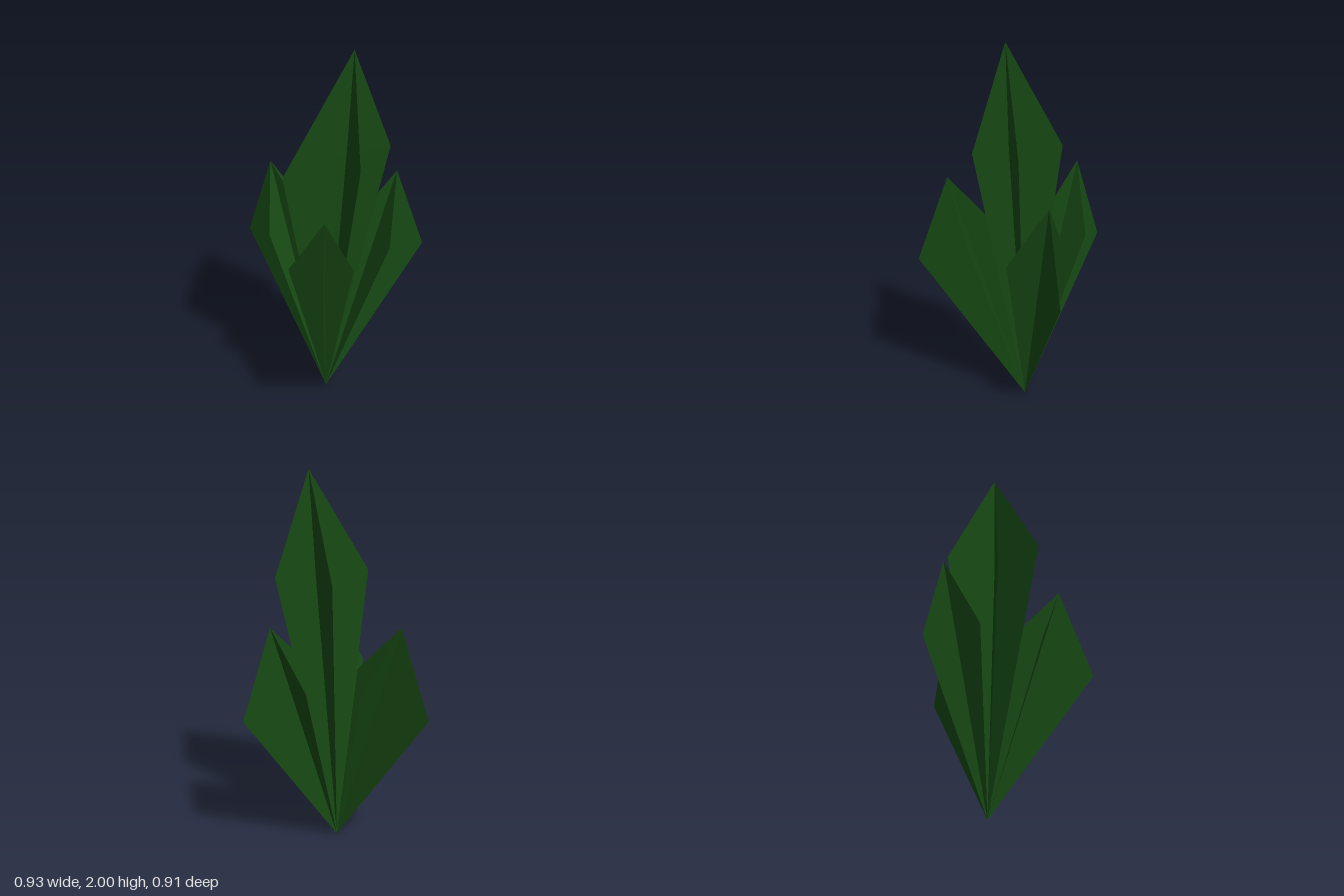
import * as THREE from 'three';

const BASE = new THREE.Vector3(-0.04, 0, 0.1);

const leafMaterial = new THREE.MeshStandardMaterial({
  color: 0x174a14,
  flatShading: true,
  side: THREE.DoubleSide,
});

// A flat blade: a fan of triangles around its first corner
function blade(name, ...corners) {
  const index = [];
  for (let i = 1; i < corners.length - 1; i++) index.push(0, i, i + 1);
  const geometry = new THREE.BufferGeometry().setFromPoints(corners);
  geometry.setIndex(index);
  geometry.computeVertexNormals();
  const mesh = new THREE.Mesh(geometry, leafMaterial);
  mesh.name = name;
  return mesh;
}

// A leaf: four blades that meet along a slightly bowed midrib
function leaf(name, { tip, mid, outer, inner, sideA, sideB }) {
  const group = new THREE.Group();
  group.name = name;
  group.add(
    blade('outerBlade', mid, BASE, outer, tip),
    blade('innerBlade', mid, tip, inner, BASE),
    blade('sideBlade', BASE, sideA, tip),
    blade('sideBlade', BASE, tip, sideB),
  );
  return group;
}

// A short leaf leaning outwards along the ground direction (dx, dz)
function shortLeaf(name, dx, dz) {
  const at = (out, y, across = 0) => new THREE.Vector3(
    BASE.x + dx * out + dz * across, y, BASE.z + dz * out - dx * across);
  return leaf(name, {
    tip: at(0.389, 1.25),
    mid: at(0.315, 0.9),
    outer: at(0.555, 0.78),
    inner: at(0.13, 0.98),
    sideA: at(0.27, 0.915, 0.142),
    sideB: at(0.27, 0.915, -0.181),
  });
}

export function createModel() {
  const model = new THREE.Group();
  model.name = 'plant';

  // Tall, almost upright leaf in the middle
  const v = (x, y, z) => new THREE.Vector3(x, y, z);
  model.add(leaf('tallLeaf', {
    tip: v(-0.01, 2, 0.24),
    mid: v(-0.06, 1.45, 0.19),
    outer: v(-0.367, 1.42, 0.105),
    inner: v(0.17, 1.465, 0.33),
    sideA: v(-0.112, 1.445, 0.375),
    sideB: v(0.142, 1.46, 0.004),
  }));

  // Three short leaves around it
  model.add(
    shortLeaf('backLeaf', 0, -1),
    shortLeaf('leftLeaf', 0.905, 0.426),
    shortLeaf('rightLeaf', -0.771, 0.637),
  );
  return model;
}
